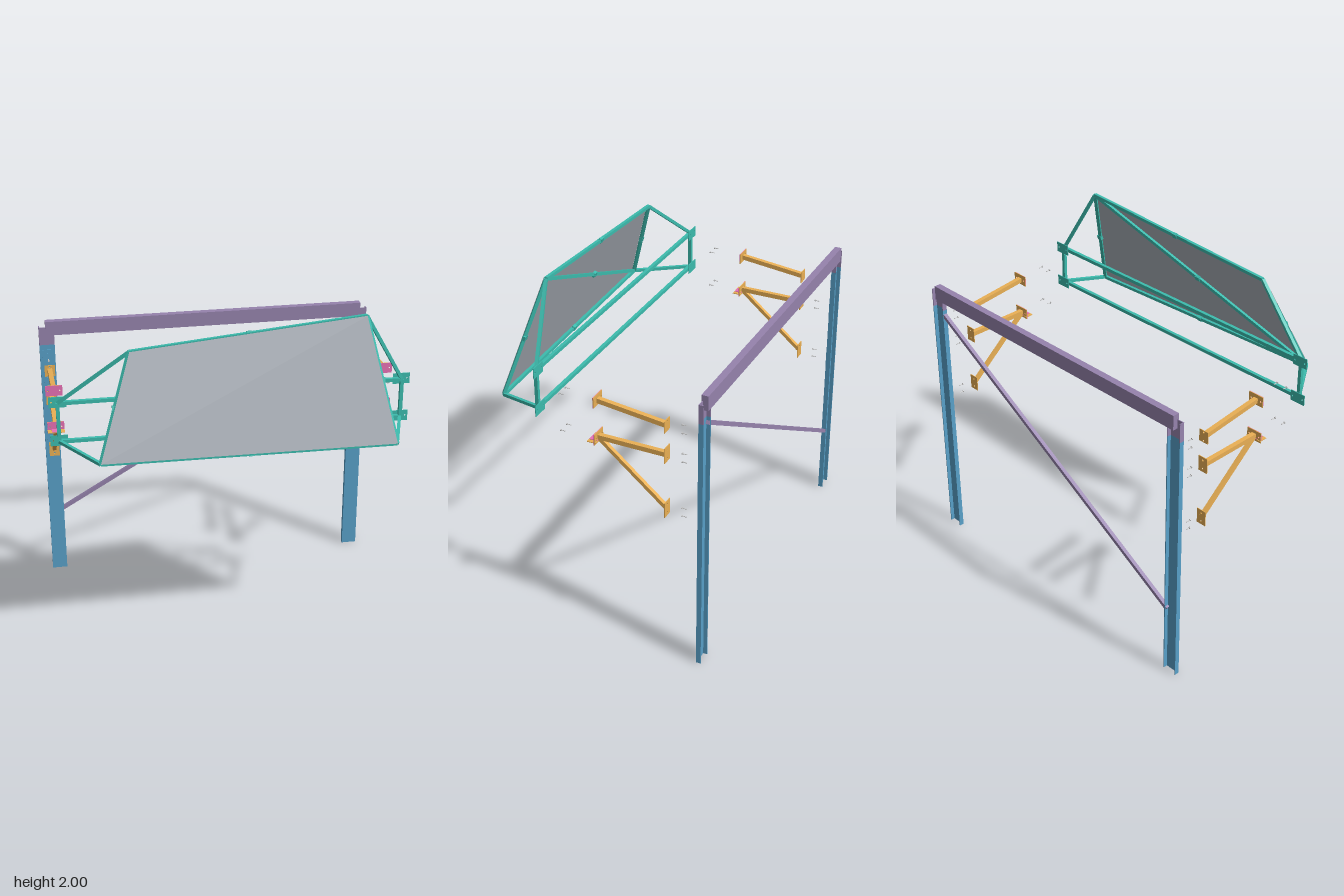
import * as THREE from 'three';

const material = (color) => new THREE.MeshStandardMaterial({ color, flatShading: true, side: THREE.DoubleSide });
const V = (x, y, z) => new THREE.Vector3(x, y, z);

export function createModel() {
  const model = new THREE.Group();
  const teal = material(0x3cbcae), purple = material(0x9683ad), blue = material(0x58a0c8);
  const orange = material(0xeab055), pink = material(0xe870b4);
  const grey = material(0xa8aeb6), steel = material(0xcccccc);

  const add = (name, geometry, mat, parent = model) => {
    const mesh = new THREE.Mesh(geometry, mat);
    mesh.name = name;
    parent.add(mesh);
    return mesh;
  };
  const box = (name, w, h, d, x, y, z, mat, parent) => {
    const mesh = add(name, new THREE.BoxGeometry(w, h, d), mat, parent);
    mesh.position.set(x, y, z);
    return mesh;
  };
  // Square bar from a to b
  const bar = (name, a, b, size, mat, parent) => {
    const mesh = add(name, new THREE.BoxGeometry(size, size, a.distanceTo(b)), mat, parent);
    mesh.position.copy(a).lerp(b, 0.5);
    mesh.quaternion.setFromRotationMatrix(new THREE.Matrix4().lookAt(b, a, V(0, 1, 0)));
  };
  // Thin plate in the xy plane with round holes
  const plate = (name, w, h, holes, x, y, z, mat, parent, depth = 0.004) => {
    const corners = [[-1, -1], [1, -1], [1, 1], [-1, 1]];
    const s = new THREE.Shape(corners.map(([i, j]) => new THREE.Vector2(i * w / 2, j * h / 2)));
    for (const [hx, hy] of holes) s.holes.push(new THREE.Path().absarc(hx, hy, 0.005, 0, Math.PI * 2, true));
    const geometry = new THREE.ExtrudeGeometry(s, { depth, bevelEnabled: false, curveSegments: 5 });
    add(name, geometry.translate(0, 0, -depth / 2), mat, parent).position.set(x, y, z);
  };
  const bolt = (x, y, z, parent) => {
    const g = new THREE.Group();
    g.name = 'bolt';
    add('boltShank', new THREE.CylinderGeometry(0.0025, 0.0025, 0.026, 6), steel, g);
    add('boltHead', new THREE.CylinderGeometry(0.006, 0.006, 0.005, 6), steel, g).position.y = 0.013;
    g.rotation.x = Math.PI / 2;
    g.position.set(x, y, z);
    parent.add(g);
  };
  // Upright channel section: front web with two flanges running back
  const channel = (w, d, t, height) => {
    const pts = [[-w / 2, 0], [w / 2, 0], [w / 2, d], [w / 2 - t, d], [w / 2 - t, t], [t - w / 2, t], [t - w / 2, d], [-w / 2, d]];
    const s = new THREE.Shape(pts.map(([x, y]) => new THREE.Vector2(x, y)));
    return new THREE.ExtrudeGeometry(s, { depth: height, bevelEnabled: false }).rotateX(-Math.PI / 2);
  };

  // Rear portal: posts, top beam and diagonal brace
  for (const s of [-1, 1]) {
    for (const [name, y, h, mat] of [['post', 0, 1.53, blue], ['postHead', 1.53, 0.11, purple]])
      add(name, channel(0.09, 0.028, 0.005, h), mat).position.set(s * 0.945, y, -0.609);
    for (const y of [1.455, 1.275, 0.94])
      plate('postPlate', 0.06, 0.09, [[0, 0.025], [0, -0.025]], s * 0.945, y, -0.605, blue);
  }
  box('topBeam', 1.9, 0.085, 0.039, 0, 1.632, -0.625, purple);
  bar('diagonalBrace', V(-0.91, 0.42, -0.623), V(0.91, 1.5, -0.623), 0.022, purple);

  // Support arms with end plates and loose bolts, one set per side
  for (const s of [-1, 1]) {
    const arms = new THREE.Group();
    arms.name = s > 0 ? 'leftArms' : 'rightArms';
    arms.position.x = s * 0.945;
    model.add(arms);
    bar('upperArm', V(0, 1.495, -0.022), V(0, 1.45, -0.413), 0.027, orange, arms);
    bar('lowerArm', V(0, 1.275, -0.022), V(0, 1.275, -0.413), 0.027, orange, arms);
    bar('armStrut', V(0, 1.265, -0.03), V(0, 0.945, -0.41), 0.022, orange, arms);
    for (const [y, h] of [[1.447, 0.07], [1.275, 0.09], [0.94, 0.09]]) {
      plate('rearArmPlate', 0.06, h, [[0, 0.025], [0, -0.025]], 0, y, -0.415, orange, arms);
      for (const dy of [-0.025, 0.025]) bolt(0, y + dy, -0.515, arms);
    }
    for (const y of [1.497, 1.275]) {
      const holes = [[-0.033, 0], [0.033, 0]];
      plate('frontArmPlate', 0.095, 0.062, holes, 0, y, -0.022, orange, arms);
      plate('frontArmPad', 0.095, 0.062, holes, 0, y, -0.019, pink, arms, 0.002);
      for (const dx of [-0.033, 0.033]) bolt(dx, y, 0.17, arms);
    }
    box('shelfPlate', 0.095, 0.004, 0.05, 0, 1.257, -0.003, orange, arms);
    box('shelfPad', 0.05, 0.003, 0.045, 0, 1.2605, -0.003, pink, arms);
  }

  // Front frame: two rails, uprights and mounting plates
  const frame = new THREE.Group();
  frame.name = 'panelFrame';
  model.add(frame);
  const zf = 0.335, top = 1.583, low = 1.357;
  for (const y of [top, low])
    bar('rail', V(-0.945, y, zf), V(0.945, y, zf), 0.02, teal, frame);
  for (const s of [-1, 1]) {
    box('upright', 0.02, top - low, 0.02, s * 0.945, (top + low) / 2, zf, teal, frame);
    for (const y of [top, low])
      plate('mountPlate', 0.095, 0.062, [[-0.033, 0], [0.033, 0]], s * 0.945, y, 0.323, teal, frame);
  }

  // Tilted four-cornered panel, folded slightly along one diagonal
  const A = V(-0.565, 1.895, 0.445), B = V(0.715, 1.995, 0.4);
  const C = V(0.86, 1.328, 0.61), D = V(-0.75, 1.355, 0.643);
  const sheet = new THREE.BufferGeometry().setFromPoints([D, C, B, D, B, A]);
  sheet.computeVertexNormals();
  add('panel', sheet, grey);

  // Edge bars, diagonal and struts behind the panel
  const [a, b, c, d] = [A, B, C, D].map((p) => p.clone().add(V(0, -0.004, -0.013)));
  const spans = [[a, b], [b, c], [c, d], [d, a], [d, b]];
  for (const [p, q] of spans) bar('panelBar', p, q, 0.018, teal, frame);
  for (const [p, x, y] of [[a, -0.945, top], [b, 0.945, top], [c, 0.945, low], [d, -0.945, low]])
    bar('strut', p, V(x, y, zf), 0.018, teal, frame);

  // Small clips at the middle of each bar
  for (const [p, q] of spans) {
    const m = p.clone().lerp(q, 0.5);
    box('clip', 0.03, 0.028, 0.018, m.x, m.y, m.z - 0.002, teal, frame).rotation.x = -0.33;
  }
  return model;
}
